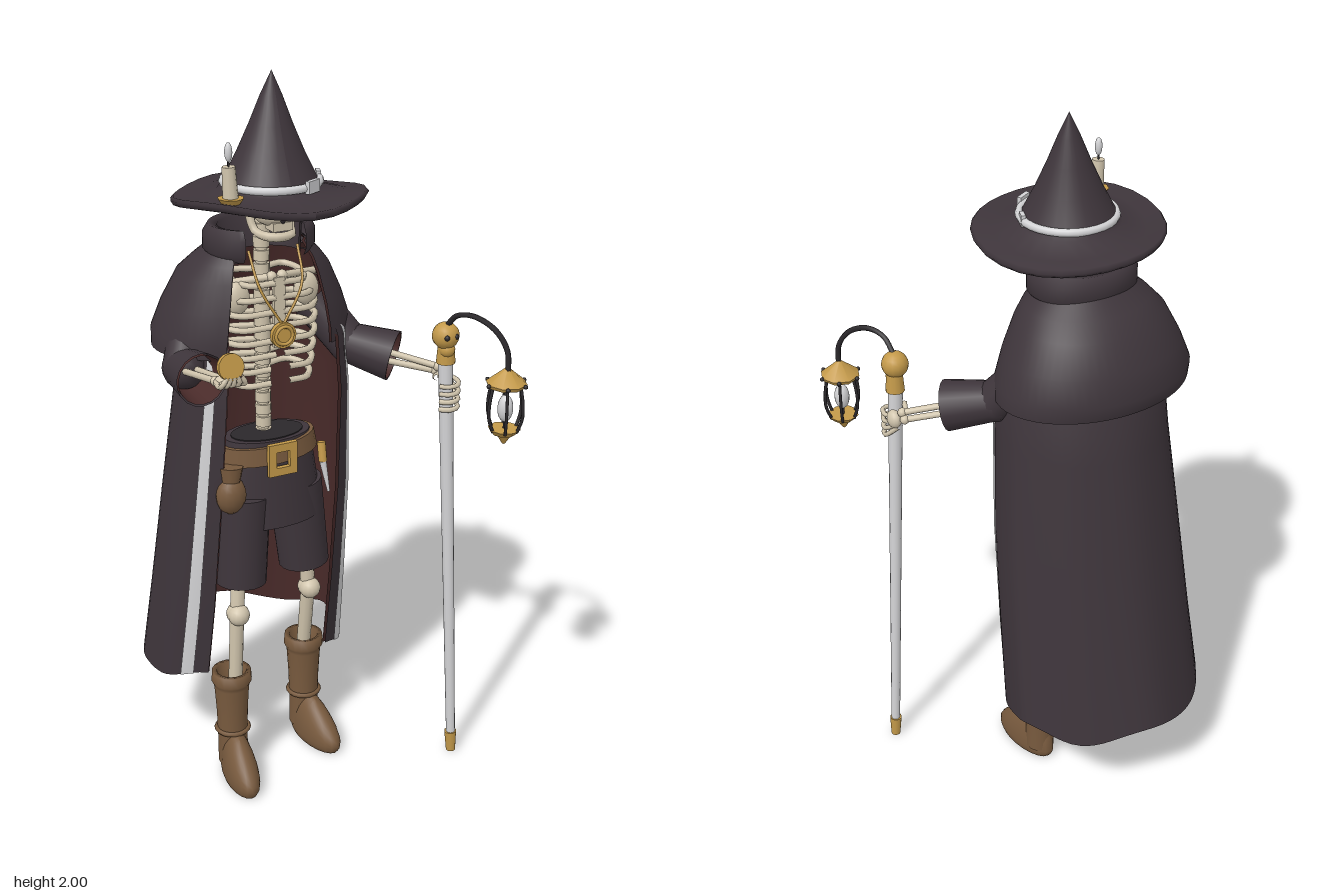
import * as THREE from 'three';

const mat = (name, color, side = THREE.FrontSide) => {
  const m = new THREE.MeshStandardMaterial({ color, side });
  m.name = name;
  return m;
};
const V = (x, y, z) => new THREE.Vector3(x, y, z);
const CX = -0.125; // body axis

export function createModel() {
  const cloth = mat('dark cloth', 0x3e353b, THREE.DoubleSide);
  const lining = mat('maroon lining', 0x4a2b2a, THREE.DoubleSide);
  const bone = mat('bone', 0xd2c6ae);
  const leather = mat('brown leather', 0x785a3e);
  const gold = mat('gold', 0xc49a4a);
  const silver = mat('silver', 0xd4d4d6, THREE.DoubleSide);
  const iron = mat('black iron', 0x2b282b);

  const root = new THREE.Group();
  const add = (name, geo, m, x = 0, y = 0, z = 0, parent = root) => {
    const mesh = new THREE.Mesh(geo, m);
    mesh.name = name;
    mesh.position.set(x, y, z);
    parent.add(mesh);
    return mesh;
  };
  // tapered rod between two points
  const rod = (name, m, a, b, r0, r1 = r0, seg = 10, open = false) => {
    const d = b.clone().sub(a);
    const mesh = add(name, new THREE.CylinderGeometry(r1, r0, d.length(), seg, 1, open), m);
    mesh.position.copy(a).addScaledVector(d, 0.5);
    mesh.quaternion.setFromUnitVectors(V(0, 1, 0), d.normalize());
    return mesh;
  };
  const ball = (name, m, p, r, sx = 1, sy = 1, sz = 1) => {
    const b = add(name, new THREE.SphereGeometry(r, 14, 10), m, p.x, p.y, p.z);
    b.scale.set(sx, sy, sz);
    return b;
  };
  const tube = (name, m, pts, r, n = 16) =>
    add(name, new THREE.TubeGeometry(new THREE.CatmullRomCurve3(pts), n, r, 6), m);
  // long bone with knobbed ends
  const longBone = (name, a, b, r) => {
    rod(name, bone, a, b, r);
    ball(name + 'End', bone, a, r * 1.45);
    ball(name + 'End', bone, b, r * 1.45);
  };

  // garment wrapped round the back and open in front
  // rows: [y, centre x, half width, back z, front z, half gap]
  const sheet = (name, m, rows, { inset = 0, t0 = -1, t1 = 1, n = 48, fold = 0 } = {}) => {
    const pos = [], idx = [];
    rows.forEach(([y, cx, rx, zb, zf, gap], i) => {
      const zc = (zb + zf) / 2, rz = (zf - zb) / 2, end = Math.PI - Math.asin(gap / rx);
      const f = fold * i / (rows.length - 1);
      for (let j = 0; j <= n; j++) {
        const a = end * (t0 + (t1 - t0) * j / n), c = Math.cos(a);
        const k = 1 + f * 0.01 * Math.cos(9 * a);
        const depth = c > 0 ? Math.pow(c, 1 + 0.35 * f) : -Math.pow(-c, 1 - 0.2 * fold);
        const drop = i === rows.length - 1 ? fold * 0.016 * Math.sin(5 * a + 1) : 0;
        pos.push(cx + (rx * k - inset) * Math.sin(a), y + drop, zc - (rz * k - inset) * depth);
        if (i && j) {
          const q = (i - 1) * (n + 1) + j - 1, w = q + n + 1;
          idx.push(q, q + 1, w, q + 1, w + 1, w);
        }
      }
    });
    const g = new THREE.BufferGeometry();
    g.setAttribute('position', new THREE.Float32BufferAttribute(pos, 3));
    g.setIndex(idx);
    g.computeVertexNormals();
    return add(name, g, m);
  };

  // cape, capelet and collar
  const capeRows = [
    [1.50, CX, 0.17, -0.20, 0.06, 0.135], [1.30, -0.112, 0.225, -0.28, 0.125, 0.16],
    [1.15, -0.11, 0.24, -0.305, 0.125, 0.17], [0.85, -0.115, 0.268, -0.35, 0.10, 0.18],
    [0.55, -0.122, 0.288, -0.40, 0.065, 0.185], [0.30, -0.128, 0.303, -0.444, 0.03, 0.19]];
  sheet('cape', cloth, capeRows, { fold: 1 });
  sheet('capeLining', lining, capeRows, { fold: 1, inset: 0.008 });
  for (const s of [-1, 1])
    sheet('capeTrim', silver, capeRows, { fold: 1, inset: -0.004, t0: s * 0.875, t1: s * 0.935, n: 4 });
  const capeletRows = [
    [1.56, CX, 0.13, -0.165, 0.06, 0.1], [1.52, CX, 0.175, -0.21, 0.08, 0.115],
    [1.48, CX, 0.21, -0.255, 0.09, 0.125], [1.40, CX, 0.25, -0.293, 0.105, 0.14],
    [1.33, CX, 0.277, -0.313, 0.11, 0.15], [1.285, CX, 0.28, -0.30, 0.105, 0.155]];
  sheet('capelet', cloth, capeletRows);
  sheet('capeletLining', lining, capeletRows, { inset: 0.007 });
  sheet('collar', cloth, [
    [1.53, CX, 0.135, -0.15, 0.07, 0.085], [1.55, CX, 0.152, -0.167, 0.08, 0.085],
    [1.59, CX, 0.152, -0.167, 0.08, 0.085], [1.615, CX, 0.138, -0.152, 0.07, 0.085],
    [1.61, CX, 0.115, -0.125, 0.05, 0.085], [1.52, CX, 0.11, -0.12, 0.045, 0.085]]);

  // sleeves emerging from under the capelet
  const sleeve = (shoulder, elbow, cuff) => {
    rod('upperSleeve', cloth, shoulder, elbow, 0.058, 0.056, 18);
    ball('sleeveElbow', cloth, elbow, 0.057);
    rod('cuff', cloth, elbow, cuff, 0.055, 0.07, 18, true);
    rod('cuffLining', lining, elbow, cuff, 0.049, 0.065, 18, true);
  };
  sleeve(V(-0.305, 1.36, -0.08), V(-0.363, 1.255, -0.01), V(-0.363, 1.262, 0.112));
  sleeve(V(0.05, 1.36, -0.08), V(0.12, 1.25, 0.0), V(0.213, 1.223, 0.088));

  // hat with wavy brim
  const profile = [[0.07, 1.69], [0.2, 1.672], [0.245, 1.678], [0.252, 1.69], [0.245, 1.698],
    [0.2, 1.695], [0.135, 1.71], [0.12, 1.735], [0.087, 1.80], [0.056, 1.87], [0.028, 1.94], [0, 2]];
  const hatGeo = new THREE.LatheGeometry(profile.map(p => new THREE.Vector2(...p)), 28);
  const hp = hatGeo.attributes.position;
  for (let i = 0; i < hp.count; i++) {
    const x = hp.getX(i), y = hp.getY(i), z = hp.getZ(i);
    const a = Math.atan2(z, x), w = Math.min(1, (x * x + z * z) / 0.0625), up = Math.max(0, (y - 1.72) / 0.28);
    const k = 1 + 0.02 * w * Math.sin(4 * a + 1);
    hp.setXYZ(i, x * k + 0.015 * up, y + w * (0.045 * z - 0.03 * x + 0.009 * Math.sin(3 * a)), z * k - 0.015 * up);
  }
  hatGeo.computeVertexNormals();
  add('hat', hatGeo, cloth, -0.115, 0, 0.004);
  const band = add('hatBand', new THREE.TorusGeometry(0.124, 0.011, 8, 32), silver, -0.112, 1.727, 0.007);
  band.rotation.x = Math.PI / 2;
  const clasp = add('hatClasp', new THREE.BoxGeometry(0.045, 0.032, 0.012), silver, -0.055, 1.73, 0.126);
  clasp.rotation.y = 0.48;
  const bandTail = add('hatBandTail', new THREE.BoxGeometry(0.03, 0.03, 0.012), silver, 0.01, 1.73, 0.03);
  bandTail.rotation.y = 1.2;

  // candle on the brim
  const cx = -0.272, cz = 0.108;
  rod('candleDish', gold, V(cx, 1.705, cz), V(cx, 1.722, cz), 0.022, 0.034, 8);
  rod('candle', bone, V(cx, 1.715, cz), V(cx - 0.004, 1.80, cz), 0.02, 0.017);
  rod('wick', iron, V(cx - 0.004, 1.80, cz), V(cx - 0.004, 1.82, cz), 0.003);
  ball('flame', silver, V(cx - 0.004, 1.835, cz), 0.011, 0.9, 2.2, 0.9);

  // skull
  ball('cranium', bone, V(CX, 1.705, 0.015), 0.08, 0.93, 0.95, 1);
  ball('cheeks', bone, V(CX, 1.655, 0.055), 0.055, 1.05, 0.6, 0.85);
  add('upperTeeth', new THREE.BoxGeometry(0.055, 0.022, 0.045), bone, CX, 1.628, 0.077);
  tube('jaw', bone, [V(CX - 0.06, 1.66, 0.02), V(CX - 0.05, 1.61, 0.04), V(CX - 0.025, 1.602, 0.09),
    V(CX + 0.025, 1.602, 0.09), V(CX + 0.05, 1.61, 0.04), V(CX + 0.06, 1.66, 0.02)], 0.012);
  for (const s of [-1, 1]) ball('eyeSocket', iron, V(CX + s * 0.03, 1.672, 0.086), 0.019, 1, 0.9, 0.6);
  ball('noseHole', iron, V(CX, 1.648, 0.099), 0.01, 0.8, 1.2, 0.5);

  // spine, ribs and shoulders
  rod('spine', bone, V(CX, 0.98, -0.03), V(CX, 1.62, -0.03), 0.016);
  for (let i = 0; i < 17; i++)
    add('vertebra', new THREE.CylinderGeometry(0.022, 0.022, 0.028, 10), bone, CX, 1.02 + i * 0.036, -0.03);
  add('sternum', new THREE.BoxGeometry(0.032, 0.19, 0.014), bone, CX, 1.395, 0.07);
  const ribWidths = [0.1, 0.125, 0.137, 0.138, 0.137, 0.133, 0.128, 0.12];
  for (const s of [-1, 1]) {
    ribWidths.forEach((w, i) => {
      const y = 1.475 - i * 0.039, tip = i < 6 ? 0.01 : 0.025;
      tube('rib', bone, [V(CX, y + 0.008, -0.04), V(CX + s * w * 0.75, y + 0.008, -0.06), V(CX + s * w, y + 0.002, -0.005),
        V(CX + s * w * 0.75, y - 0.004, 0.055), V(CX + s * tip, y, 0.072)], 0.0095);
    });
    longBone('clavicle', V(CX + s * 0.015, 1.49, 0.06), V(CX + s * 0.15, 1.47, 0), 0.01);
    ball('shoulderBlade', bone, V(CX + s * 0.1, 1.435, 0.03), 0.045, 0.8, 1, 0.5);
    tube('chain', gold, [V(CX + s * 0.07, 1.56, 0.04), V(CX + s * 0.06, 1.47, 0.085), V(CX, 1.365, 0.095)], 0.004);
  }
  const amulet = add('amulet', new THREE.CylinderGeometry(0.035, 0.035, 0.014, 16), gold, CX, 1.34, 0.095);
  amulet.rotation.x = Math.PI / 2;
  add('amuletRim', new THREE.TorusGeometry(0.024, 0.005, 6, 18), gold, CX, 1.34, 0.103);

  // breeches, belt and hanging gear
  add('breechesHips', new THREE.CylinderGeometry(0.125, 0.163, 0.25, 24), cloth, CX, 0.905, -0.01).scale.z = 0.6;
  add('breechesOpening', new THREE.CylinderGeometry(0.105, 0.105, 0.004, 24), iron, CX, 1.031, -0.01).scale.z = 0.6;
  const belt = add('belt', new THREE.CylinderGeometry(0.138, 0.146, 0.05, 24), leather, CX, 0.995, -0.01);
  belt.scale.z = 0.62;
  belt.rotation.z = 0.05;
  const rect = (w, h) => [[-w, -h], [w, -h], [w, h], [-w, h]].map(p => new THREE.Vector2(...p));
  const frame = new THREE.Shape(rect(0.042, 0.046));
  frame.holes.push(new THREE.Path(rect(0.02, 0.023)));
  add('buckle', new THREE.ExtrudeGeometry(frame, { depth: 0.014, bevelEnabled: false }), gold, CX, 0.985, 0.078);
  ball('pouch', leather, V(-0.265, 0.895, 0.055), 0.045, 0.95, 1.2, 0.8);
  rod('pouchNeck', leather, V(-0.265, 0.935, 0.055), V(-0.262, 0.975, 0.05), 0.026, 0.034);
  rod('daggerHilt', gold, V(0.022, 0.985, 0.03), V(0.022, 0.93, 0.04), 0.012);
  rod('daggerBlade', silver, V(0.022, 0.93, 0.04), V(0.035, 0.84, 0.05), 0.01, 0.004);

  // legs and boots
  const leg = (x, hemX, z, kneeZ, bootZ, s) => {
    rod('breechesLeg', cloth, V(CX + s * 0.085, 0.87, (kneeZ - 0.02) / 2), V(hemX, 0.61, z), 0.077, 0.072, 18);
    const knee = V(x - s * 0.005, 0.52, kneeZ);
    longBone('thighBone', V(hemX, 0.75, z), knee, 0.021);
    longBone('shinBone', knee, V(x, 0.2, bootZ), 0.02);
    ball('kneecap', bone, V(knee.x, 0.52, kneeZ + 0.012), 0.031);
    const boot = new THREE.Group();
    boot.name = 'boot';
    boot.position.set(x + s * 0.008, 0, bootZ);
    boot.rotation.y = s * 0.12;
    root.add(boot);
    const shaft = [[0.043, 0.03], [0.043, 0.12], [0.045, 0.2], [0.05, 0.28], [0.052, 0.29], [0.058, 0.30], [0.056, 0.33], [0.042, 0.33], [0.036, 0.26]];
    add('bootShaft', new THREE.LatheGeometry(shaft.map(p => new THREE.Vector2(...p)), 18), leather, 0, 0, 0, boot);
    const strap = add('bootStrap', new THREE.TorusGeometry(0.046, 0.007, 6, 18), leather, 0, 0.14, 0, boot);
    strap.rotation.x = Math.PI / 2;
    // foot: flat sole, instep sloping to the toe
    const foot = new THREE.SphereGeometry(1, 20, 14), p = foot.attributes.position;
    for (let i = 0; i < p.count; i++) {
      const z = p.getZ(i), y = p.getY(i), h = 0.105 - 0.055 * z;
      p.setXYZ(i, p.getX(i) * 0.047, y > 0 ? 0.025 + y * h : Math.max(0, 0.025 + y * 0.06), 0.063 + z * 0.115);
    }
    foot.computeVertexNormals();
    add('bootFoot', foot, leather, 0, 0, 0, boot);
  };
  leg(-0.253, -0.225, 0.02, 0.04, 0.022, -1);
  leg(0.006, -0.013, -0.01, -0.01, -0.065, 1);

  // right hand holding a coin
  for (const s of [-1, 1]) longBone('forearmBone', V(-0.363 + s * 0.016, 1.26, 0.02), V(-0.36 + s * 0.012, 1.297, 0.215), 0.009);
  ball('palm', bone, V(-0.361, 1.303, 0.24), 0.024, 1, 0.6, 1);
  for (let i = 0; i < 5; i++) {
    const x = -0.361 + (i - 2) * 0.015;
    tube('finger', bone, [V(-0.361 + (i - 2) * 0.01, 1.303, 0.235), V(x, 1.306, 0.28),
      V(x, 1.318, 0.302), V(x * 0.6 - 0.146, 1.336, 0.304)], 0.007, 10);
  }
  const coin = add('coin', new THREE.CylinderGeometry(0.034, 0.034, 0.014, 16), gold, -0.367, 1.36, 0.296);
  coin.rotation.x = Math.PI / 2 - 0.2;

  // left forearm and hand gripping the staff
  for (const s of [-1, 1])
    longBone('forearmBone', V(0.14 + s * 0.006, 1.235 + s * 0.014, 0.03), V(0.312, 1.19 + s * 0.008, 0.15 + s * 0.006), 0.009);
  ball('palm', bone, V(0.325, 1.17, 0.18), 0.026, 0.7, 1, 1);
  for (let i = 0; i < 4; i++) {
    const y = 1.175 - i * 0.022;
    tube('finger', bone, [V(0.32, 1.18 - i * 0.01, 0.165), V(0.338, y, 0.21), V(0.322, y - 0.003, 0.243),
      V(0.292, y - 0.005, 0.243), V(0.278, y - 0.006, 0.225)], 0.007, 12);
  }
  tube('thumb', bone, [V(0.315, 1.18, 0.16), V(0.29, 1.18, 0.18), V(0.276, 1.19, 0.21)], 0.008, 8);

  // staff with skull knob
  rod('staff', silver, V(0.35, 0.03, 0.24), V(0.297, 1.24, 0.217), 0.013, 0.02, 12);
  rod('staffTip', gold, V(0.351, 0, 0.24), V(0.348, 0.065, 0.239), 0.014, 0.018, 10);
  rod('staffCollar', gold, V(0.298, 1.232, 0.217), V(0.297, 1.285, 0.218), 0.026, 0.022, 12);
  ball('knob', gold, V(0.293, 1.31, 0.22), 0.037);
  ball('knobJaw', gold, V(0.295, 1.272, 0.226), 0.022);
  for (const s of [-1, 1]) ball('knobEye', iron, V(0.293 + s * 0.014, 1.313, 0.25), 0.008);
  tube('lanternHook', iron, [V(0.294, 1.34, 0.225), V(0.30, 1.375, 0.26), V(0.32, 1.385, 0.31), V(0.35, 1.36, 0.365), V(0.37, 1.31, 0.395), V(0.373, 1.25, 0.4)], 0.0075, 24);

  // lantern
  const lx = 0.373, lz = 0.395;
  const tier = (name, m, y0, y1, r0, r1) => rod(name, m, V(lx, y0, lz), V(lx, y1, lz), r0, r1, 8);
  tier('lanternRoof', gold, 1.222, 1.262, 0.055, 0.006);
  tier('lanternEave', gold, 1.212, 1.222, 0.05, 0.055);
  tier('lanternBase', gold, 1.078, 1.094, 0.03, 0.044);
  tier('lanternFinial', gold, 1.05, 1.078, 0.004, 0.022);
  ball('lanternLight', silver, V(lx, 1.15, lz), 0.021, 1, 1.8, 1);
  tier('lanternWick', iron, 1.09, 1.22, 0.004, 0.004);
  for (let i = 0; i < 6; i++) {
    const a = i * Math.PI / 3, c = Math.cos(a), s = Math.sin(a);
    tube('lanternBar', iron, [[0.036, 1.088], [0.05, 1.13], [0.05, 1.17], [0.042, 1.215]]
      .map(([r, y]) => V(lx + r * c, y, lz + r * s)), 0.0045, 10);
    ball('lanternStud', iron, V(lx + 0.055 * c, 1.22, lz + 0.055 * s), 0.006);
  }
  return root;
}
